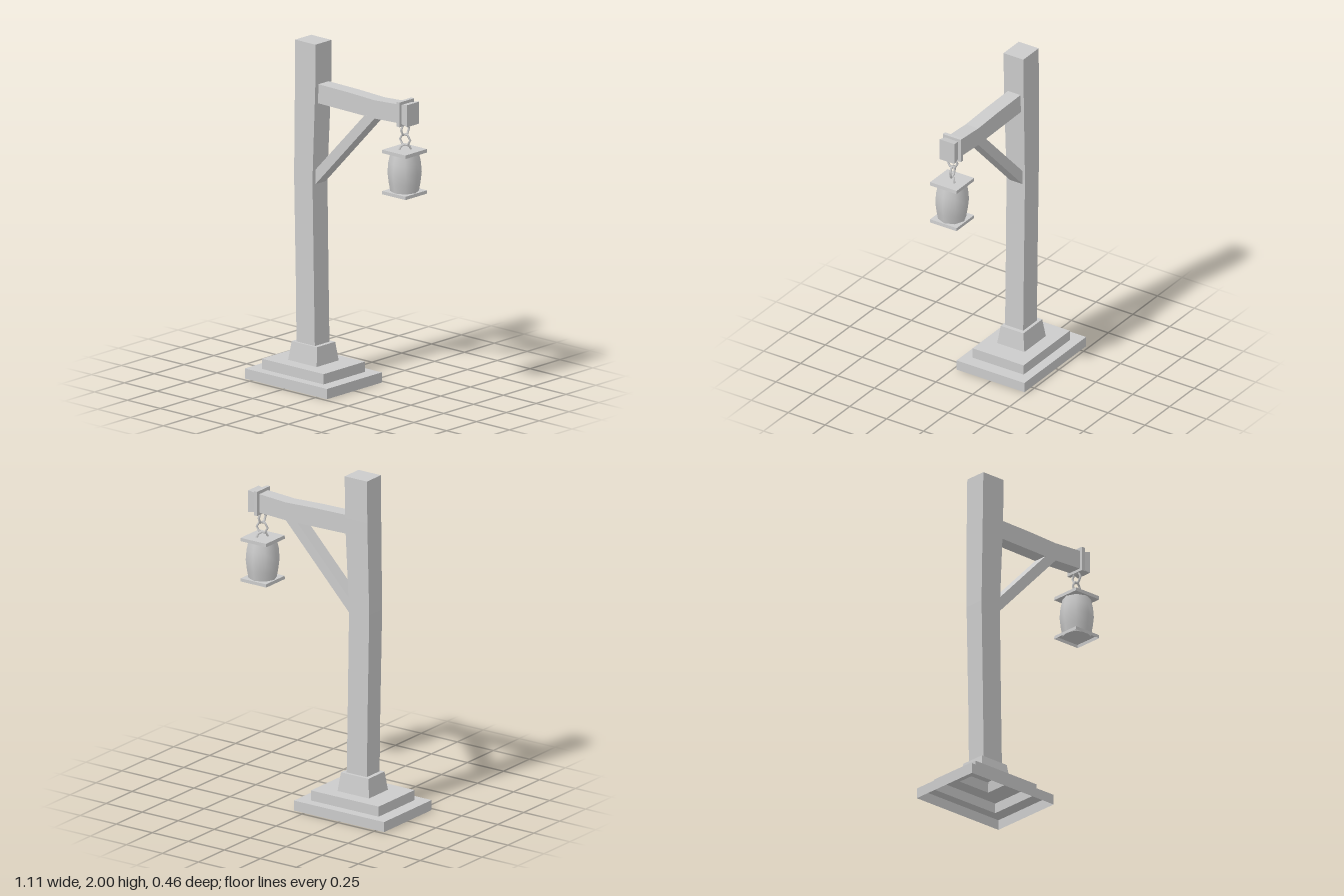
import * as THREE from 'three';

const solid = new THREE.MeshStandardMaterial({ color: 0xcccccc });
const open = new THREE.MeshStandardMaterial({ color: 0xcccccc, side: THREE.DoubleSide });

function add(parent, name, geometry, material = solid) {
  const mesh = new THREE.Mesh(geometry, material);
  mesh.name = name;
  parent.add(mesh);
  return mesh;
}

// Rectangular rings [height, x0, x1, z0, z1], stacked upwards
const ringY = ([y, x0, x1, z0, z1]) => [[x0, y, z1], [x1, y, z1], [x1, y, z0], [x0, y, z0]];
// Rectangular rings [x, y0, y1, z0, z1], running sideways
const ringX = ([x, y0, y1, z0, z1]) => [[x, y0, z1], [x, y0, z0], [x, y1, z0], [x, y1, z1]];

// Joins four-cornered rings into a flat-faced skin, with optional end caps
function loft(rings, capStart = true, capEnd = true) {
  const points = [];
  const quad = (a, b, c, d) => points.push(...a, ...b, ...c, ...a, ...c, ...d);
  for (let i = 0; i < rings.length - 1; i++) {
    const r = rings[i], s = rings[i + 1];
    for (let j = 0; j < 4; j++) {
      const k = (j + 1) % 4;
      quad(r[j], r[k], s[k], s[j]);
    }
  }
  const first = rings[0], last = rings[rings.length - 1];
  if (capStart) quad(first[3], first[2], first[1], first[0]);
  if (capEnd) quad(...last);
  const geometry = new THREE.BufferGeometry();
  geometry.setAttribute('position', new THREE.Float32BufferAttribute(points, 3));
  geometry.computeVertexNormals();
  return geometry;
}

export function createModel() {
  const model = new THREE.Group();
  model.name = 'lanternPost';

  // Hollow stepped base with a tapered collar, open underneath
  add(model, 'steppedBase', loft([
    [0, -0.555, 0.07, -0.23, 0.23],
    [0.06, -0.555, 0.07, -0.23, 0.23],
    [0.06, -0.477, -0.007, -0.173, 0.173],
    [0.12, -0.477, -0.007, -0.173, 0.173],
    [0.12, -0.352, -0.134, -0.093, 0.091],
    [0.23, -0.338, -0.147, -0.078, 0.076],
    [0.23, -0.312, -0.172, -0.06, 0.063],
  ].map(ringY), false, false), open);

  // Slightly crooked timber post
  add(model, 'post', loft([
    [0.16, -0.312, -0.172, -0.059, 0.064],
    [0.6, -0.318, -0.18, -0.059, 0.064],
    [1.2, -0.33, -0.19, -0.06, 0.065],
    [1.75, -0.322, -0.167, -0.067, 0.067],
    [2, -0.319, -0.164, -0.066, 0.068],
  ].map(ringY)));

  // Cross beam with a flared end
  add(model, 'beam', loft([
    [-0.19, 1.65, 1.762, -0.045, 0.04],
    [0.06, 1.646, 1.758, -0.045, 0.04],
    [0.26, 1.643, 1.75, -0.045, 0.04],
    [0.46, 1.652, 1.762, -0.044, 0.04],
    [0.515, 1.643, 1.772, -0.053, 0.048],
  ].map(ringX)));

  // Diagonal brace
  const outline = new THREE.Shape([
    [-0.195, 1.165], [0.265, 1.648], [0.185, 1.648], [-0.195, 1.25],
  ].map(([x, y]) => new THREE.Vector2(x, y)));
  add(model, 'brace', new THREE.ExtrudeGeometry(outline, { depth: 0.085, bevelEnabled: false }))
    .position.z = -0.044;

  // Metal band around the beam
  add(model, 'beamBand', new THREE.BoxGeometry(0.023, 0.145, 0.122)).position.set(0.456, 1.708, -0.003);

  // Hanging chain of six-sided links
  const chain = new THREE.Group();
  chain.name = 'chain';
  chain.position.x = 0.456;
  model.add(chain);
  const link = (name, y, turn, radius, arc = Math.PI * 2) => {
    const segments = arc < 6 ? 4 : 6;
    const mesh = add(chain, name, new THREE.TorusGeometry(radius, 0.007, 5, segments, arc));
    mesh.position.y = y;
    mesh.rotation.y = turn;
  };
  link('upperLink', 1.609, Math.PI / 2, 0.034);
  link('middleLink', 1.549, 0.2, 0.034);
  link('lanternHook', 1.488, 0.9, 0.034, Math.PI);

  // Lantern: bulging body between two square plates
  const lantern = new THREE.Group();
  lantern.name = 'lantern';
  lantern.position.set(0.455, 0, 0.003);
  model.add(lantern);
  const bulge = [[0.08, 1.243], [0.09, 1.3], [0.097, 1.36], [0.092, 1.42], [0.08, 1.475]]
    .map(([r, y]) => new THREE.Vector2(r, y));
  add(lantern, 'lanternBody', new THREE.LatheGeometry(bulge, 8));
  add(lantern, 'lanternFloor', new THREE.CircleGeometry(0.08, 8).rotateX(Math.PI / 2)).position.y = 1.243;
  for (const [name, y0, y1] of [['topPlate', 1.472, 1.492], ['bottomPlate', 1.231, 1.25]]) {
    const w = 0.09;
    add(lantern, name, loft([
      [y0, -w, w, -w, w],
      [y1, -w * 0.98, w * 0.98, -w, w],
    ].map(ringY), name === 'topPlate'), open);
  }

  return model;
}
